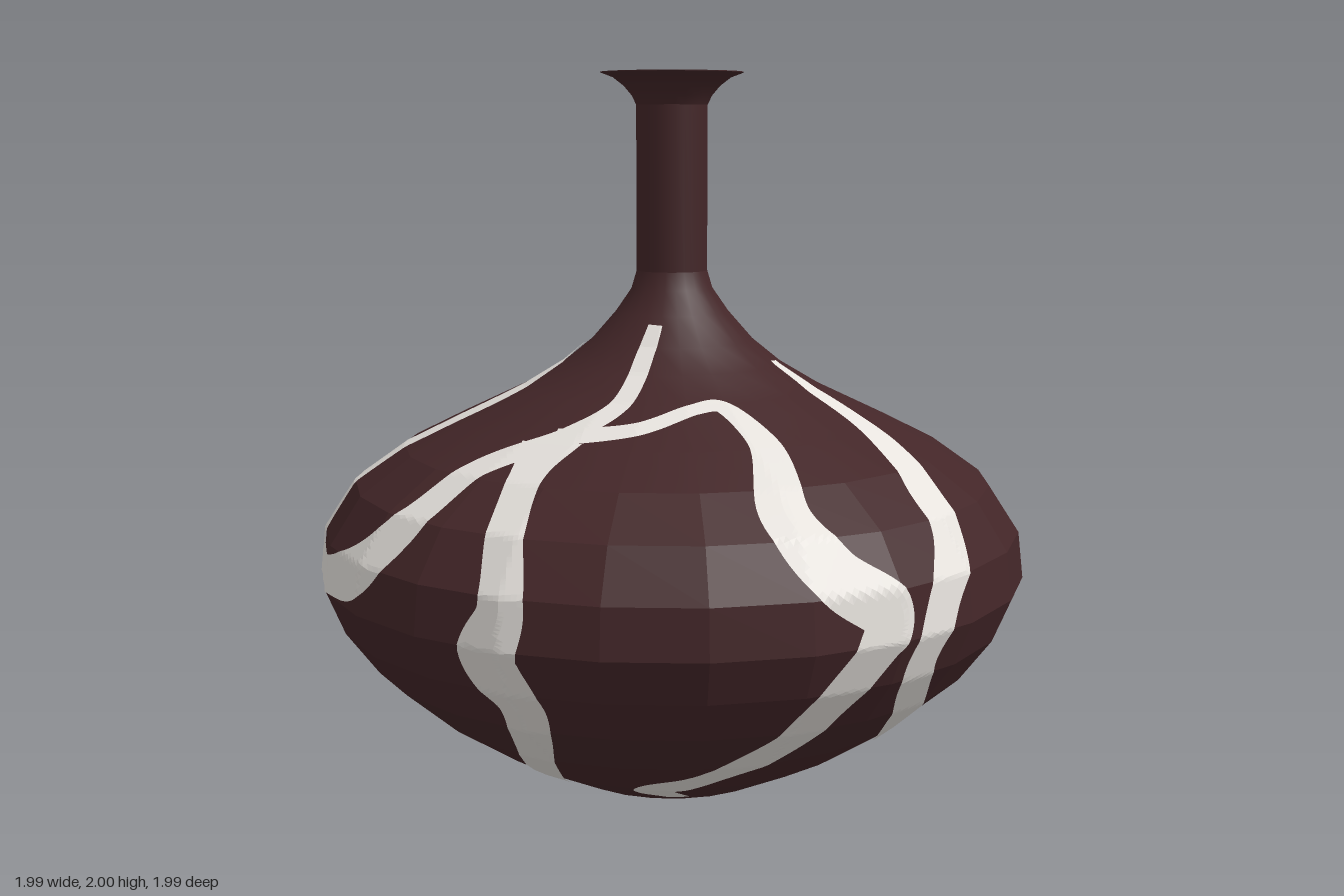
import * as THREE from 'three';

const SIDES = 24;
const STEP = (Math.PI * 2) / SIDES;
const START = THREE.MathUtils.degToRad(4.5);

// Profiles as [radius, height]
const BELLY = [[0.31, 0], [0.53, 0.11], [0.71, 0.23], [0.86, 0.36], [0.95, 0.48], [1, 0.6],
  [0.985, 0.73], [0.9, 0.86], [0.76, 0.96]];
const SHOULDER = [[0.76, 0.96], [0.61, 1.035], [0.42, 1.125], [0.31, 1.19], [0.23, 1.255],
  [0.16, 1.335], [0.115, 1.4], [0.1, 1.45]];
const NECK = [[0.1, 1.45], [0.1, 1.91]];
const FLARE = [[0.1, 1.91], [0.112, 1.935], [0.135, 1.962], [0.165, 1.985], [0.2, 1.998]];
const RIM = [[0.2, 1.998], [0.2, 2], [0.18, 2]];
const MOUTH = [[0.18, 2], [0.14, 1.972], [0.105, 1.935], [0.08, 1.89], [0.075, 1.85]];
const BORE = [[0.075, 1.85], [0.075, 1.45], [0, 1.45]];

// Outer wall used to lay the veins on, with running length along the curve
const WALL = [...BELLY, ...SHOULDER.slice(1)];
const LENGTH = [0];
for (let i = 1; i < WALL.length; i++) {
  LENGTH.push(LENGTH[i - 1] + Math.hypot(WALL[i][0] - WALL[i - 1][0], WALL[i][1] - WALL[i - 1][1]));
}

function lengthAtHeight(y) {
  let i = 1;
  while (i < WALL.length - 1 && WALL[i][1] < y) i++;
  const t = (y - WALL[i - 1][1]) / (WALL[i][1] - WALL[i - 1][1]);
  return LENGTH[i - 1] + t * (LENGTH[i] - LENGTH[i - 1]);
}

// Radius, height and outward normal at a length along the wall
function wallAt(m) {
  m = THREE.MathUtils.clamp(m, 0, LENGTH[LENGTH.length - 1]);
  let i = 1;
  while (i < WALL.length - 1 && LENGTH[i] < m) i++;
  const [r0, y0] = WALL[i - 1], [r1, y1] = WALL[i];
  const len = LENGTH[i] - LENGTH[i - 1], t = (m - LENGTH[i - 1]) / len;
  return { r: r0 + t * (r1 - r0), y: y0 + t * (y1 - y0), nr: (y1 - y0) / len, ny: -(r1 - r0) / len };
}

// Point just above the faceted wall
function surfacePoint(phi, m, lift) {
  const w = wallAt(m);
  const turn = (phi - START) / STEP;
  const local = (turn - Math.floor(turn) - 0.5) * STEP;
  const r = (w.r * Math.cos(STEP / 2)) / Math.cos(local) + w.nr * lift;
  return [Math.sin(phi) * r, w.y + w.ny * lift, Math.cos(phi) * r];
}

function flat(geometry) {
  const g = geometry.toNonIndexed();
  g.computeVertexNormals();
  return g;
}

function lathe(profile, sharp) {
  const pts = profile.map(([r, y]) => new THREE.Vector2(r, y));
  const g = new THREE.LatheGeometry(pts, SIDES, START);
  return sharp ? flat(g) : g;
}

// Ribbon on the wall; each point is [angle in degrees, height, half width]
function vein(points, lift) {
  const curve = new THREE.CatmullRomCurve3(points.map(([deg, y, w]) =>
    new THREE.Vector3(THREE.MathUtils.degToRad(deg), lengthAtHeight(y), w)), false, 'centripetal');
  const rows = (points.length - 1) * 14, cols = 8;
  const pos = [], index = [];
  for (let i = 0; i <= rows; i++) {
    const c = curve.getPoint(i / rows);
    const a = curve.getPoint(Math.max(0, i - 1) / rows);
    const b = curve.getPoint(Math.min(rows, i + 1) / rows);
    const r = wallAt(c.y).r;
    const ds = (b.x - a.x) * r, dm = b.y - a.y, d = Math.hypot(ds, dm) || 1;
    for (let j = 0; j <= cols; j++) {
      const off = ((j / cols) * 2 - 1) * c.z;
      pos.push(...surfacePoint(c.x - (dm / d) * off / r, c.y + (ds / d) * off, lift));
    }
  }
  for (let i = 0; i < rows; i++) {
    for (let j = 0; j < cols; j++) {
      const a = i * (cols + 1) + j, b = a + cols + 1;
      index.push(a, b, a + 1, b, b + 1, a + 1);
    }
  }
  const g = new THREE.BufferGeometry();
  g.setAttribute('position', new THREE.Float32BufferAttribute(pos, 3));
  g.setIndex(index);
  return flat(g);
}

const VEINS = {
  frontLeftwardVein: [[0, 1.31, 0.02], [-2, 1.25, 0.025], [-4, 1.13, 0.03], [-14, 1.06, 0.04], [-29, 0.98, 0.05],
    [-34.5, 0.84, 0.065], [-43, 0.71, 0.075], [-57, 0.65, 0.05], [-68, 0.64, 0.06]],
  frontRightwardVein: [[-18, 1.05, 0.04], [4, 1.075, 0.03], [22, 1.115, 0.025], [33, 1.115, 0.03], [38, 1.05, 0.045],
    [34, 0.91, 0.07], [39, 0.78, 0.08], [47, 0.67, 0.075], [45, 0.59, 0.065], [39, 0.43, 0.065],
    [34, 0.3, 0.06], [21, 0.165, 0.05], [9, 0.1, 0.055], [17, 0.04, 0.03]],
  frontTrunkVein: [[-17, 1.04, 0.09], [-16, 0.98, 0.055], [-12.8, 0.86, 0.055], [-10.5, 0.7, 0.065],
    [-12.8, 0.57, 0.085], [-9.5, 0.43, 0.065], [-13.5, 0.27, 0.055], [-22, 0.14, 0.05], [-38, 0.02, 0.05]],
  rightSideVein: [[87, 1.2, 0.02], [83, 1.12, 0.04], [78, 1.05, 0.045], [67, 0.91, 0.065], [63.5, 0.8, 0.06],
    [58, 0.67, 0.06], [55, 0.51, 0.06], [60, 0.36, 0.055], [69, 0.22, 0.05], [77, 0.06, 0.045], [83, 0.01, 0.04]],
  backVein: [[201, 1.22, 0.01], [192, 1.14, 0.07], [182, 1.09, 0.08], [186, 1.03, 0.06], [198, 0.91, 0.09],
    [197, 0.74, 0.08], [198, 0.6, 0.11], [195, 0.4, 0.075], [186, 0.26, 0.07], [182, 0.12, 0.045], [174, 0.02, 0.03]],
  leftUpperVein: [[-76, 1.24, 0.015], [-70, 1.16, 0.035], [-67, 1.1, 0.045], [-69, 1.01, 0.05], [-72, 0.9, 0.065],
    [-73, 0.77, 0.09], [-70, 0.63, 0.075], [-71, 0.46, 0.045], [-76, 0.24, 0.04], [-76, 0.02, 0.035]],
  leftRearVein: [[-70, 0.68, 0.06], [-84, 0.72, 0.06], [-102, 0.66, 0.07], [-115, 0.53, 0.065], [-121, 0.36, 0.06],
    [-122, 0.22, 0.055], [-130, 0.13, 0.04], [-136, 0.04, 0.025]],
};

export function createModel() {
  const glaze = new THREE.MeshStandardMaterial({ color: 0x432628 });
  glaze.name = 'dark brown glaze';
  const cream = new THREE.MeshStandardMaterial({ color: 0xe6e2dd });
  cream.name = 'cream vein';

  const group = new THREE.Group();
  group.name = 'vase';
  const add = (name, geometry, material) => {
    const mesh = new THREE.Mesh(geometry, material);
    mesh.name = name;
    group.add(mesh);
  };

  // Vase body: faceted belly, smooth shoulder, neck and flared mouth
  add('base', lathe([[0, 0], [0.31, 0]]), glaze);
  add('belly', lathe(BELLY, true), glaze);
  add('shoulder', lathe(SHOULDER), glaze);
  add('neck', lathe(NECK), glaze);
  add('flare', lathe(FLARE), glaze);
  add('rim', lathe(RIM, true), glaze);
  add('mouth', lathe(MOUTH), glaze);
  add('bore', lathe(BORE, true), glaze);

  // Painted veins, each lifted slightly differently where they cross
  Object.entries(VEINS).forEach(([name, points], i) => add(name, vein(points, 0.004 + i * 0.0003), cream));
  return group;
}
